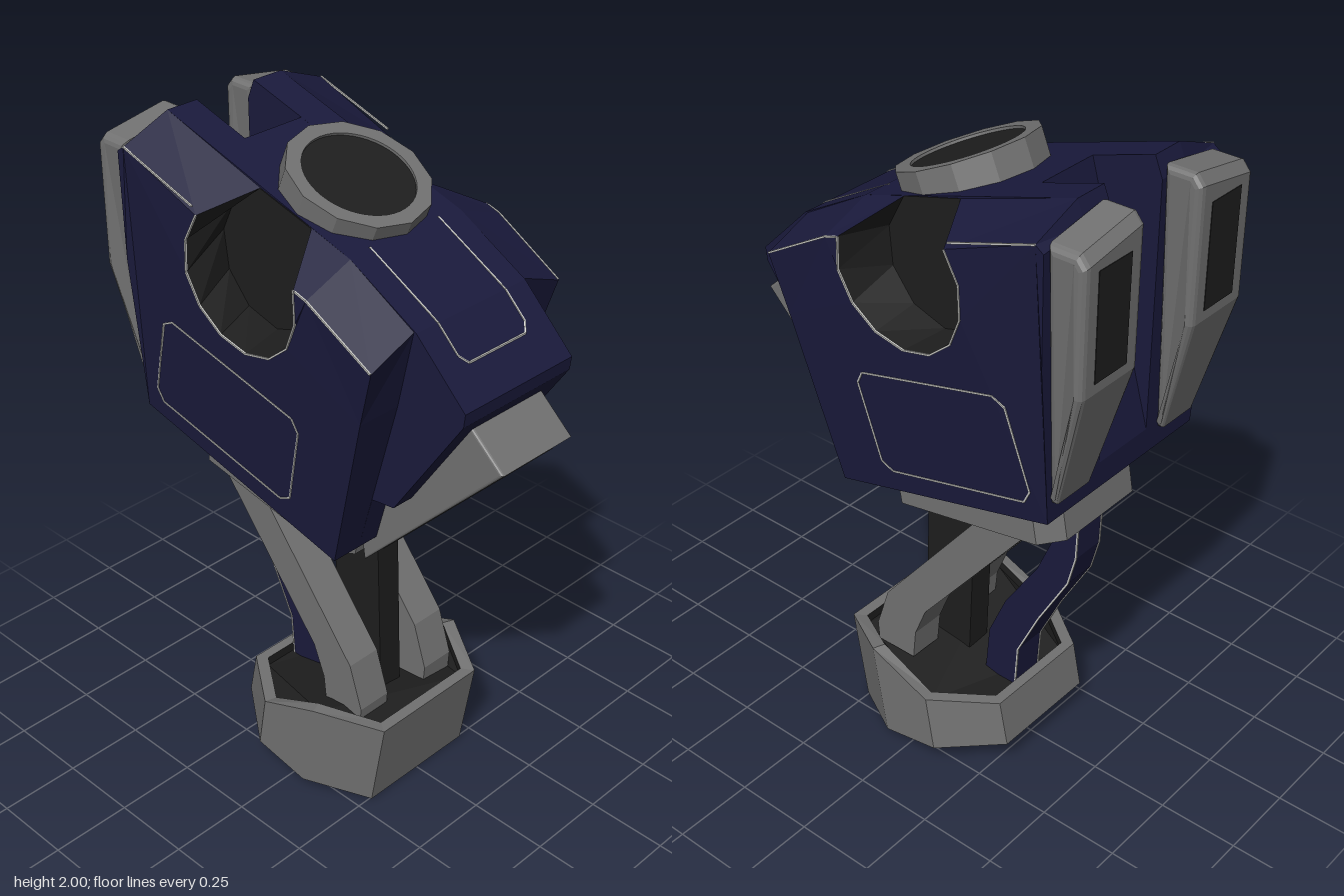
import * as THREE from 'three';

const paint = (name, color) => {
  const m = new THREE.MeshStandardMaterial({ color });
  m.name = name;
  return m;
};

export function createModel() {
  const model = new THREE.Group();
  model.name = 'mechTorso';
  const blue = paint('navyArmour', 0x1a1a3c);
  const grey = paint('greyMetal', 0x717171);
  const dark = paint('darkRecess', 0x1e1e1e);
  const seam = paint('paleSeam', 0xc4c4c0);

  const add = (name, geometry, material) => {
    const mesh = new THREE.Mesh(geometry, material);
    mesh.name = name;
    model.add(mesh);
    return mesh;
  };

  // Side profile given as [z, y], extruded from x0 to x1, with an optional bevel
  const prism = (profile, x0, x1, bevel = 0) => {
    const shape = new THREE.Shape(profile.map(([z, y]) => new THREE.Vector2(z, y)));
    const geo = new THREE.ExtrudeGeometry(shape, {
      depth: x1 - x0 - 2 * bevel, bevelEnabled: bevel > 0, bevelSize: bevel,
      bevelThickness: bevel, bevelOffset: -bevel, bevelSegments: 3,
    });
    return geo.rotateY(-Math.PI / 2).translate(x1 - bevel, 0, 0);
  };

  // Flat-faced skin over matching rings, with a material index per face
  const loft = (rings, project, bandMaterial, startCap, endCap) => {
    const pos = [], geo = new THREE.BufferGeometry();
    const tri = (a, b, c, m) => {
      geo.addGroup(pos.length / 3, 3, m);
      pos.push(...a, ...b, ...c);
    };
    for (let i = 0; i < rings.length - 1; i++) {
      const A = rings[i], B = rings[i + 1];
      A.forEach((_, j) => {
        const k = (j + 1) % A.length, m = bandMaterial(i, j);
        tri(A[j], A[k], B[k], m);
        tri(A[j], B[k], B[j], m);
      });
    }
    const cap = (ring, m, flip) => {
      const flat = ring.map((p) => new THREE.Vector2(...project(p)));
      for (const [a, b, c] of THREE.ShapeUtils.triangulateShape(flat, [])) {
        if (flip) tri(ring[a], ring[c], ring[b], m);
        else tri(ring[a], ring[b], ring[c], m);
      }
    };
    cap(rings[0], startCap, true);
    cap(rings[rings.length - 1], endCap, false);
    geo.setAttribute('position', new THREE.Float32BufferAttribute(pos, 3));
    geo.computeVertexNormals();
    return geo;
  };

  // Mirrored copy of an unindexed geometry, with its faces turned back outwards
  const mirror = (source) => {
    const geo = source.clone(), p = geo.attributes.position;
    for (let i = 0; i < p.count; i += 3) {
      const v = [0, 2, 1].map((k) => new THREE.Vector3().fromBufferAttribute(source.attributes.position, i + k));
      v.forEach((q, k) => p.setXYZ(i + k, -q.x, q.y, q.z));
    }
    geo.computeVertexNormals();
    return geo;
  };
  const addPair = (name, geo, material) => {
    const flat = geo.index ? geo.toNonIndexed() : geo;
    add(name + 'Left', flat, material);
    add(name + 'Right', mirror(flat), material);
  };

  // Thin seam lines through points
  const seamLine = (name, points) => {
    for (let i = 0; i < points.length - 1; i++) {
      const a = new THREE.Vector3(...points[i]), b = new THREE.Vector3(...points[i + 1]);
      const bar = add(name, new THREE.BoxGeometry(0.005, 0.005, a.distanceTo(b)), seam);
      bar.position.copy(a).add(b).multiplyScalar(0.5);
      bar.lookAt(b);
    }
  };

  // Torso core: grooved spine and the two full-depth slabs beside it
  const front = [[0.18, 1.79], [0.41, 1.665], [0.58, 1.5], [0.575, 1.46], [0.34, 1.11], [0.26, 1.1], [0.21, 0.92]];
  add('torsoCore', prism([[-0.535, 1.12], [-0.535, 1.2], [-0.32, 1.942], ...front], -0.105, 0.105), blue);
  addPair('torsoSlab', prism([[-0.535, 1.12], [-0.535, 1.94], [-0.51, 2], ...front], 0.105, 0.21), blue);

  // Outer torso: tapered sides with a shoulder socket cut through the top edge
  const halfWidth = (y) => 0.305 + 0.063 * Math.min(1, (y - 0.92) / 0.73);
  const notch = (z, y, r, from, to) => Array.from({ length: 10 }, (_, i) => {
    const a = THREE.MathUtils.degToRad(from + ((to - from) * i) / 9);
    return [z - r * Math.cos(a), y + r * Math.sin(a)];
  });
  const innerNotch = notch(-0.1, 1.69, 0.2, 76, -225);
  const outerNotch = notch(-0.07, 1.69, 0.212, 42, -195);
  const outline = (arc, drop) => [
    [0.21, 0.92], [-0.535, 1.12], [-0.535, 1.6], [-0.535, 1.94 - drop * 0.3], [-0.51, 2 - drop],
    ...arc, [0.18, 1.79 - drop], [0.402, 1.665 - drop], [0.35, 1.43],
  ];
  const onSide = ([z, y]) => [halfWidth(y), y, z];
  const podRings = [
    outline(innerNotch, 0).map(([z, y]) => [0.21, y, z]),
    outline(outerNotch, 0.06).map(onSide),
  ];
  const inSocket = (i, j) => (j >= 5 && j < 14 ? 1 : 0);
  addPair('torsoSide', loft(podRings, (p) => [-p[2], p[1]], inSocket, 0, 0), [blue, dark]);
  addPair('shoulderSocket', prism(innerNotch, 0.205, 0.213), dark);

  // Neck ring with a dark opening
  const ring = new THREE.Shape(Array.from({ length: 12 }, (_, i) =>
    new THREE.Vector2(Math.cos((i * Math.PI) / 6), Math.sin((i * Math.PI) / 6)).multiplyScalar(0.205)));
  ring.holes.push(new THREE.Path().absarc(0, 0, 0.158, 0, Math.PI * 2, true));
  const neck = new THREE.Group();
  neck.name = 'neck';
  const neckRing = new THREE.Mesh(
    new THREE.ExtrudeGeometry(ring, { depth: 0.09, bevelEnabled: false, curveSegments: 24 }), grey);
  neckRing.name = 'neckRing';
  const opening = new THREE.Mesh(new THREE.CircleGeometry(0.16, 32), dark);
  opening.name = 'neckOpening';
  opening.position.z = 0.082;
  neck.add(neckRing, opening);
  neck.rotation.x = -Math.PI / 2 + 0.4;
  neck.position.set(0, 1.824, -0.028);
  model.add(neck);

  // Panel seams on the chest, the sides, the shoulder edges and the socket rims
  const topY = (z) => (z < 0.18 ? 1.79 + (0.18 - z) * 0.304
    : z < 0.41 ? 1.79 - (z - 0.18) * 0.543 : 1.665 - (z - 0.41) * 0.97);
  seamLine('chestSeam', [[-0.13, 0.17], [-0.13, 0.41], [-0.13, 0.48], [-0.11, 0.5], [0.11, 0.5],
    [0.13, 0.48], [0.13, 0.41], [0.13, 0.17]].map(([x, z]) => [x, topY(z), z]));
  const sideSeams = {
    sidePanelSeam: [[0.11, 1.3], [0.09, 1.34], [-0.37, 1.46], [-0.41, 1.44], [-0.48, 1.2],
      [-0.46, 1.16], [0.01, 1.04], [0.05, 1.06], [0.11, 1.3]],
    socketRim: outerNotch,
    rearShoulderEdge: [[-0.24, 1.854], [-0.51, 1.94]],
    frontShoulderEdge: [[0.14, 1.742], [0.18, 1.73], [0.4, 1.606]],
  };
  for (const [name, points] of Object.entries(sideSeams)) {
    const line = points.map(onSide);
    seamLine(name + 'Left', line);
    seamLine(name + 'Right', line.map(([x, y, z]) => [-x, y, z]));
  }

  // Front intake with its dark grille
  add('frontIntake', prism([[0.53, 1.425], [0.652, 1.317], [0.163, 0.818], [0.15, 0.9], [0.3, 1.2]], -0.14, 0.14, 0.008), grey);
  add('frontGrille', prism([[0.62, 1.29], [0.624, 1.286], [0.194, 0.847], [0.19, 0.851]], -0.095, 0.095), dark);

  // Back exhausts, narrowing downwards and sloping outwards on top, with dark slots
  const exhaust = prism([[-0.53, 1.975], [-0.62, 1.975], [-0.645, 1.945], [-0.645, 1.55], [-0.55, 1.18], [-0.53, 1.18]], 0.115, 0.352, 0.02);
  const ep = exhaust.attributes.position;
  for (let i = 0; i < ep.count; i++) {
    const x = ep.getX(i), y = ep.getY(i);
    const k = THREE.MathUtils.clamp((y - 1.18) / 0.37, 0, 1);
    ep.setX(i, 0.2335 + (x - 0.2335) * (0.65 + 0.35 * k));
    if (y > 1.9) ep.setY(i, y - Math.max(0, x - 0.2) * 0.25);
  }
  exhaust.computeVertexNormals();
  addPair('exhaust', exhaust, grey);
  addPair('exhaustSlot', new THREE.BoxGeometry(0.13, 0.31, 0.006).translate(0.2335, 1.735, -0.644), dark);

  // Waist plate with chamfered corners
  const plan = [[-0.15, -0.31], [0.15, -0.31], [0.21, -0.25], [0.21, 0.25], [0.15, 0.31], [-0.15, 0.31], [-0.21, 0.25], [-0.21, -0.25]];
  const waist = new THREE.ExtrudeGeometry(
    new THREE.Shape(plan.map((p) => new THREE.Vector2(...p))), { depth: 0.15, bevelEnabled: false });
  waist.rotateX(-Math.PI / 2 + 0.18).translate(0, 0.885, -0.168);
  add('waist', waist, grey);

  // Support struts, the rear one with pale edges
  addPair('strut', prism([[0.2, 0.26], [0.205, 0.32], [0.16, 0.46], [-0.21, 0.92], [-0.36, 0.92], [0.01, 0.46], [0.05, 0.36], [0.06, 0.26]], 0.082, 0.195), grey);
  add('centreColumn', prism([[0.12, 0.9], [-0.06, 0.9], [-0.035, 0.25], [0.14, 0.25]], -0.042, 0.042), dark);
  const strutFront = [[-0.35, 0.95], [-0.35, 0.82], [-0.3, 0.7], [-0.185, 0.52], [-0.125, 0.38], [-0.11, 0.2]];
  const strutBack = [[-0.225, 0.2], [-0.235, 0.36], [-0.31, 0.52], [-0.41, 0.7], [-0.435, 0.8], [-0.44, 0.95]];
  add('rearStrut', prism([...strutFront, ...strutBack], -0.055, 0.055), blue);
  for (const x of [-0.054, 0.054]) seamLine('rearStrutEdge', strutBack.map(([z, y]) => [x, y, z]));

  // Eight-sided foot: shallow tray on top, deep open hollow underneath
  const bottomY = (z) => 0.005 + (0.255 - z) * 0.18;
  const footRing = (points, scale, height) => {
    const half = points.map(([x, y, z]) => [x * scale, height(y, z), z * scale]);
    return [...half, ...half.map(([x, y, z]) => [-x, y, z]).reverse()];
  };
  const low = [[0.2, 0, 0.255], [0.31, 0, 0.07], [0.31, 0, -0.12], [0.18, 0, -0.3]];
  const high = [[0.2, 0.3, 0.305], [0.31, 0.335, 0.12], [0.31, 0.25, -0.09], [0.18, 0.25, -0.27]];
  const footRings = [
    footRing(high, 0.9, (y) => y - 0.06),
    footRing(low, 0.96, (y, z) => bottomY(z * 0.96)),
    footRing(low, 1, (y, z) => bottomY(z)),
    footRing(high, 1, (y) => y),
    footRing(high, 0.88, (y) => y),
    footRing(high, 0.88, (y) => y - 0.03),
  ];
  add('foot', loft(footRings, (p) => [p[0], -p[2]], (i) => (i === 4 ? 1 : 0), 1, 1), [grey, dark]);

  return model;
}
